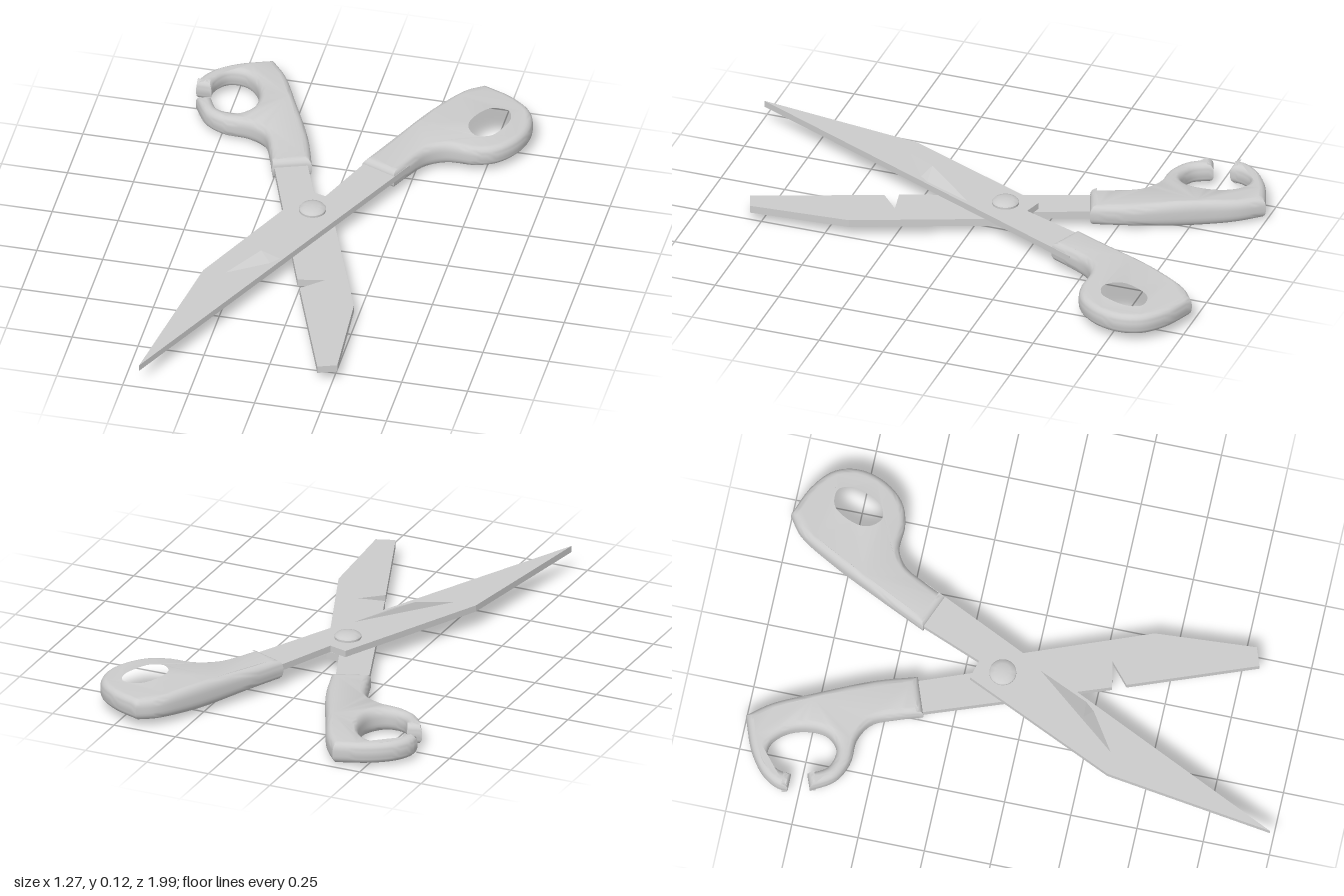
import * as THREE from 'three';
import { mergeVertices, toCreasedNormals } from 'three/addons/utils/BufferGeometryUtils.js';

const steel = new THREE.MeshStandardMaterial({ color: 0xcccccc });
const thin = new THREE.MeshStandardMaterial({ color: 0xcccccc, side: THREE.DoubleSide, flatShading: true });

// plan points are [x, z]; shapes are drawn with y = -z and laid flat afterwards
const flat = (pts) => pts.map(([x, z]) => new THREE.Vector2(x, -z));
const smooth = (pts, closed = false) => {
  const curve = new THREE.CatmullRomCurve3(pts.map(([x, z]) => new THREE.Vector3(x, 0, z)), closed, 'centripetal');
  const out = curve.getPoints(pts.length * 4).map((p) => [p.x, p.z]);
  if (closed) out.pop();
  return out;
};
// joins smooth runs, keeping a corner where one run ends and the next begins
const joinRuns = (runs) => {
  const out = runs.flatMap((run) => smooth(run).slice(0, -1));
  out.push(runs[runs.length - 1].at(-1));
  return out;
};

function makeBlade(name, pts, y0, y1) {
  const geo = new THREE.ExtrudeGeometry(new THREE.Shape(flat(pts)), { depth: y1 - y0, bevelEnabled: false });
  geo.rotateX(-Math.PI / 2).translate(0, y0, 0);
  const mesh = new THREE.Mesh(geo, steel);
  mesh.name = name;
  return mesh;
}

// rounded grip: bevelled outline that swells around the palm
function makeHandle(name, outline, hole, midY, swellX) {
  const shape = new THREE.Shape(flat(outline));
  if (hole) shape.holes.push(new THREE.Path(flat(hole)));
  const round = 0.03, height = 0.08;
  let geo = new THREE.ExtrudeGeometry(shape, {
    depth: height - 2 * round, bevelThickness: round, bevelSize: 0.025, bevelOffset: -0.025, bevelSegments: 5,
  });
  geo.rotateX(-Math.PI / 2).translate(0, round - height / 2, 0);
  const pos = geo.attributes.position;
  for (let i = 0; i < pos.count; i++) {
    const dx = (pos.getX(i) - swellX) / 0.14, dz = (pos.getZ(i) + 0.72) / 0.2;
    pos.setY(i, midY + pos.getY(i) * (1 + 0.32 * Math.exp(-dx * dx - dz * dz)));
  }
  geo.deleteAttribute('uv');
  geo.deleteAttribute('normal');
  geo = toCreasedNormals(mergeVertices(geo, 1e-4), 0.9);
  const mesh = new THREE.Mesh(geo, steel);
  mesh.name = name;
  return mesh;
}

export function createModel() {
  const group = new THREE.Group();
  group.name = 'scissors';

  // long pointed blade on top
  group.add(makeBlade('longBlade', [
    [0.11, -0.5], [-0.01, -0.2], [-0.08, -0.22], [-0.345, 0.355],
    [-0.44, 0.99], [0.21, -0.375], [0.25, -0.46],
  ], 0.075, 0.1));

  // snapped blade below, with a nick in its cutting edge
  group.add(makeBlade('brokenBlade', [
    [-0.27, -0.44], [-0.24, -0.36], [0, 0.3], [0.1, 0.28], [0.02, 0.35], [0.195, 0.815],
    [0.265, 0.79], [0.24, 0.41], [0.005, -0.2], [-0.05, -0.21], [-0.15, -0.47],
  ], 0.046, 0.075));

  // dented edge of the long blade, bent up to a peak
  const peak = [-0.155, 0.13, 0.225];
  const rear = [0.0, 0.1, 0.03], front = [-0.26, 0.1, 0.35];
  const edgeRear = [-0.085, 0.1, 0.22], edgeFront = [-0.115, 0.1, 0.255];
  const dent = new THREE.BufferGeometry();
  dent.setAttribute('position', new THREE.Float32BufferAttribute([
    peak, edgeRear, rear, peak, edgeFront, edgeRear,
    peak, front, edgeFront, peak, rear, front,
  ].flat(), 3));
  dent.computeVertexNormals();
  const dentMesh = new THREE.Mesh(dent, thin);
  dentMesh.name = 'bentEdge';
  group.add(dentMesh);

  // pivot rivet with domed heads
  const dome = [[0.05, 0.035], [0.045, 0.041], [0.03, 0.046], [0, 0.049]];
  const profile = [...dome.map(([r, h]) => [r, -h]).reverse(), ...dome];
  const rivet = new THREE.LatheGeometry(profile.map(([r, h]) => new THREE.Vector2(r, h)), 32);
  const rivetMesh = new THREE.Mesh(toCreasedNormals(rivet, 0.6), steel);
  rivetMesh.name = 'pivotRivet';
  rivetMesh.position.set(-0.037, 0.073, -0.105);
  group.add(rivetMesh);

  // whole handle with a closed finger loop
  const leftOutline = joinRuns([
    [[0.21, -0.375], [0.075, -0.43]],
    [[0.075, -0.43], [0.16, -0.61], [0.27, -0.83], [0.345, -0.95], [0.41, -1.0]],
    [[0.41, -1.0], [0.53, -0.95], [0.61, -0.88], [0.635, -0.79], [0.61, -0.69], [0.545, -0.61],
      [0.465, -0.58], [0.36, -0.58], [0.295, -0.54], [0.25, -0.46], [0.21, -0.375]],
  ]).slice(0, -1);
  const leftHole = smooth([
    [0.5, -0.88], [0.55, -0.868], [0.578, -0.81], [0.562, -0.73], [0.52, -0.66],
    [0.45, -0.64], [0.4, -0.68], [0.385, -0.735], [0.41, -0.815], [0.45, -0.865],
  ], true);
  group.add(makeHandle('leftHandle', leftOutline, leftHole, 0.08, 0.3));

  // handle with a gap broken out of its finger loop
  const rightOutline = joinRuns([
    [[-0.25, -0.36], [-0.11, -0.41]],
    [[-0.11, -0.41], [-0.16, -0.565], [-0.26, -0.78], [-0.325, -0.915], [-0.39, -1.0]],
    [[-0.39, -1.0], [-0.52, -0.95], [-0.6, -0.89], [-0.635, -0.83], [-0.638, -0.79]],
    [[-0.638, -0.79], [-0.58, -0.79]],
    [[-0.58, -0.79], [-0.575, -0.835], [-0.54, -0.885], [-0.48, -0.89], [-0.425, -0.845], [-0.395, -0.77],
      [-0.4, -0.69], [-0.45, -0.645], [-0.525, -0.66], [-0.567, -0.73]],
    [[-0.567, -0.73], [-0.62, -0.71]],
    [[-0.62, -0.71], [-0.565, -0.625], [-0.485, -0.585], [-0.39, -0.58], [-0.32, -0.54], [-0.28, -0.45], [-0.25, -0.36]],
  ]).slice(0, -1);
  group.add(makeHandle('rightHandle', rightOutline, null, 0.06, -0.3));

  return group;
}
